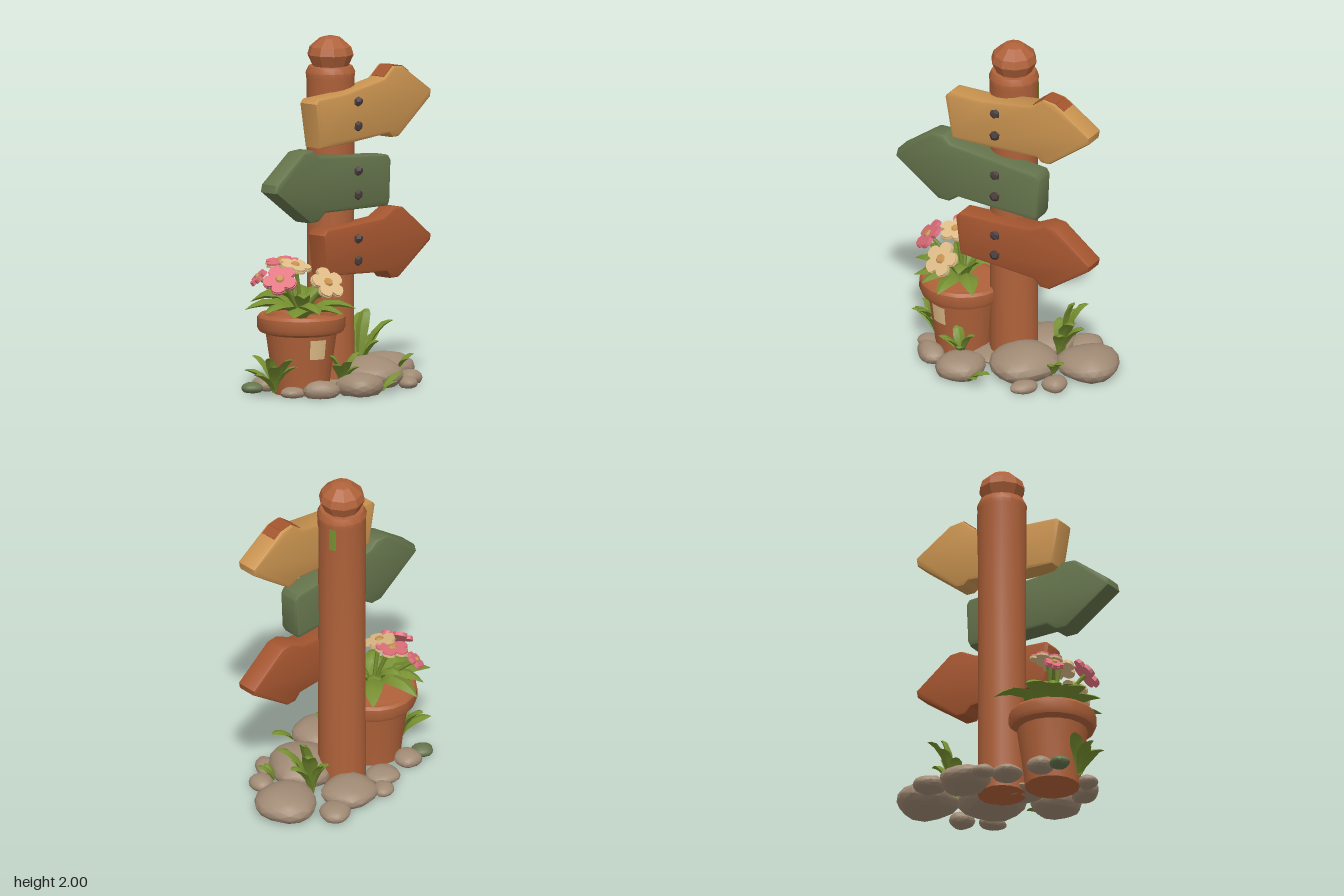
import * as THREE from 'three';
import { toCreasedNormals } from 'three/addons/utils/BufferGeometryUtils.js';

const mat = (name, color, side = THREE.FrontSide) => {
  const m = new THREE.MeshStandardMaterial({ color, side });
  m.name = name;
  return m;
};

export function createModel() {
  const M = {
    wood: mat('terracotta wood', 0xb0623a),
    rust: mat('rust paint', 0xa4552f),
    tan: mat('tan paint', 0xc8924f),
    green: mat('moss green paint', 0x65744c),
    rock: mat('rock', 0xa08a74),
    leaf: mat('leaf', 0x768f30, THREE.DoubleSide),
    pink: mat('pink petal', 0xe0707c),
    cream: mat('cream petal', 0xe0bd88),
    iron: mat('dark iron', 0x4a3e3c),
  };
  const root = new THREE.Group();
  root.name = 'signpost';
  const add = (parent, name, geo, material, x = 0, y = 0, z = 0) => {
    const m = new THREE.Mesh(geo, material);
    m.name = name;
    m.position.set(x, y, z);
    parent.add(m);
    return m;
  };
  const sub = (name, x = 0, y = 0, z = 0) => {
    const g = new THREE.Group();
    g.name = name;
    g.position.set(x, y, z);
    root.add(g);
    return g;
  };
  const lathe = (pts, seg, crease = 0.6) =>
    toCreasedNormals(new THREE.LatheGeometry(pts.map(p => new THREE.Vector2(...p)), seg), crease);

  // Post with a faceted knob and a moss streak near the top
  const post = sub('post', -0.035, 0, -0.045);
  add(post, 'postShaft', lathe([[0, 0], [0.137, 0], [0.134, 0.9], [0.138, 1.76], [0.142, 1.79], [0.125, 1.825], [0, 1.83]], 16), M.wood);
  add(post, 'postKnob', lathe([[0, 1.79], [0.1, 1.8], [0.1, 1.82], [0.132, 1.89], [0.118, 1.935], [0.06, 1.985], [0, 2]], 10, 0.3), M.wood);
  const streak = add(post, 'mossStreak', new THREE.CylinderGeometry(0.142, 0.14, 0.14, 4, 1, true, -0.15, 0.3), M.leaf, 0, 1.69, 0);
  streak.rotation.y = Math.PI - 0.5;

  // Arrow boards: outlines in the plane of the boards
  const boards = sub('boards');
  boards.rotation.y = 0.651;
  const board = (name, pts, material, boltYs) => {
    const shape = new THREE.Shape(pts.map(p => new THREE.Vector2(...p)));
    const geo = new THREE.ExtrudeGeometry(shape, {
      depth: 0.096, bevelSize: 0.018, bevelOffset: -0.018, bevelThickness: 0.02, bevelSegments: 2,
    });
    add(boards, name, toCreasedNormals(geo, 0.7), material, 0, 0, 0.033);
    boltYs.forEach((y, i) => {
      const b = add(boards, 'bolt', new THREE.DodecahedronGeometry(0.031, 0), M.iron, 0.002, y, 0.155);
      b.rotation.set(0.3, 0.4 * i, 0.5 + i);
      b.scale.z = 0.8;
    });
  };
  board('topBoard', [
    [-0.29, 1.40], [-0.06, 1.405], [0.27, 1.43], [0.30, 1.405], [0.35, 1.405], [0.61, 1.605], [0.617, 1.65],
    [0.39, 1.80], [0.31, 1.81], [0.23, 1.745], [-0.10, 1.69], [-0.31, 1.68], [-0.335, 1.655],
  ], M.tan, [1.64, 1.5]);
  board('middleBoard', [
    [0.26, 1.02], [0.275, 1.05], [0.285, 1.28], [0.265, 1.31], [-0.05, 1.335], [-0.30, 1.355], [-0.35, 1.395],
    [-0.43, 1.39], [-0.65, 1.225], [-0.66, 1.18], [-0.38, 0.985], [-0.31, 0.985], [-0.25, 1.03],
  ], M.green, [1.245, 1.11]);
  board('bottomBoard', [
    [-0.235, 0.67], [0.25, 0.645], [0.29, 0.605], [0.35, 0.605], [0.61, 0.79], [0.617, 0.825],
    [0.39, 1.0], [0.32, 1.005], [0.22, 0.955], [-0.03, 0.94], [-0.24, 0.93], [-0.265, 0.90],
  ], M.rust, [0.86, 0.735]);

  // Worn paint on top of the upper arrowhead
  [[0.24, 1.753, 0.31, 1.81], [0.31, 1.81, 0.39, 1.80], [0.39, 1.80, 0.44, 1.767]].forEach(([x0, y0, x1, y1]) => {
    const w = add(boards, 'wornPaint', new THREE.BoxGeometry(Math.hypot(x1 - x0, y1 - y0), 0.008, 0.095), M.rust,
      (x0 + x1) / 2, (y0 + y1) / 2, 0.083);
    w.rotation.z = Math.atan2(y1 - y0, x1 - x0);
  });

  // Flower pot with rim, soil and a chipped patch
  const pot = sub('flowerPot', -0.24, 0, 0.18);
  add(pot, 'potBody', lathe([[0, 0], [0.155, 0], [0.165, 0.1], [0.2, 0.34], [0.238, 0.355], [0.25, 0.38],
    [0.248, 0.435], [0.235, 0.452], [0.21, 0.45], [0.2, 0.42], [0, 0.43]], 18), M.wood);
  const patch = add(pot, 'potPatch', new THREE.CylinderGeometry(0.198, 0.185, 0.11, 4, 1, true, 0.1, 0.52), M.cream, 0, 0.265, 0);
  patch.material = M.cream;

  // Pointed leaf with a diamond cross-section swept along an arc
  const leafGeo = (reach, rise, width, lift) => {
    const curve = new THREE.QuadraticBezierCurve(new THREE.Vector2(0, 0),
      new THREE.Vector2(reach * 0.35, rise * lift), new THREE.Vector2(reach, rise));
    const pos = [], idx = [];
    const rings = [[0, 0.35], [0.25, 0.7], [0.5, 1], [0.75, 0.85], [0.9, 0.45], [1, 0.03]];
    rings.forEach(([t, k], i) => {
      const p = curve.getPoint(t), d = curve.getTangent(t), w = width * k, h = w * 0.38;
      pos.push(p.x, p.y, w, p.x - d.y * h, p.y + d.x * h, 0, p.x, p.y, -w, p.x + d.y * h, p.y - d.x * h, 0);
      if (i) for (let j = 0; j < 4; j++) {
        const a = (i - 1) * 4 + j, b = (i - 1) * 4 + (j + 1) % 4;
        idx.push(a, a + 4, b, b, a + 4, b + 4);
      }
    });
    const g = new THREE.BufferGeometry();
    g.setAttribute('position', new THREE.Float32BufferAttribute(pos, 3));
    g.setIndex(idx);
    return toCreasedNormals(g, 0.7);
  };
  // Each leaf: angle in degrees (0 = +x, 90 = front), reach, rise, half width
  const tuft = (name, x, y, z, leaves, lift = 1) => {
    const g = sub(name, x, y, z);
    leaves.forEach(([deg, reach, rise, w]) => {
      add(g, 'leaf', leafGeo(reach, rise, w, lift), M.leaf).rotation.y = -deg * Math.PI / 180;
    });
  };
  tuft('potLeaves', -0.24, 0.41, 0.18, [
    [12, 0.31, 0.07, 0.055], [50, 0.31, 0.06, 0.055], [78, 0.28, 0.07, 0.055], [108, 0.28, 0.05, 0.055],
    [140, 0.31, 0.07, 0.06], [168, 0.34, 0.08, 0.065], [200, 0.29, 0.1, 0.055], [228, 0.33, 0.1, 0.06],
    [277, 0.34, 0.11, 0.06], [318, 0.24, 0.12, 0.05],
  ], 2.3);
  tuft('potInnerLeaves', -0.24, 0.41, 0.18, [
    [30, 0.2, 0.15, 0.045], [95, 0.19, 0.15, 0.045], [155, 0.19, 0.16, 0.045], [215, 0.18, 0.16, 0.045], [275, 0.18, 0.15, 0.045],
  ], 1.4);
  tuft('backTuft', 0.16, 0.04, -0.25, [
    [0, 0.2, 0.3, 0.045], [-35, 0.16, 0.22, 0.045], [-75, 0.16, 0.33, 0.045], [-120, 0.14, 0.25, 0.04],
    [-45, 0.09, 0.36, 0.045], [25, 0.12, 0.19, 0.04], [-160, 0.1, 0.2, 0.04],
  ]);
  tuft('leftTuft', -0.41, 0.02, 0.28, [
    [185, 0.17, 0.13, 0.04], [215, 0.14, 0.2, 0.04], [150, 0.15, 0.11, 0.035], [100, 0.14, 0.16, 0.035],
    [60, 0.17, 0.2, 0.035], [125, 0.08, 0.2, 0.035], [30, 0.14, 0.15, 0.03],
  ]);
  tuft('frontTuft', -0.02, 0.06, 0.28, [
    [-20, 0.11, 0.17, 0.035], [30, 0.1, 0.1, 0.03], [120, 0.13, 0.12, 0.035], [180, 0.08, 0.16, 0.035], [80, 0.12, 0.14, 0.03],
  ]);
  tuft('rightSprout', 0.2, 0.02, 0.32, [[-30, 0.15, 0.09, 0.035], [-5, 0.09, 0.05, 0.025]]);
  tuft('sideSprout', 0.36, 0.06, -0.13, [[-10, 0.1, 0.1, 0.035], [40, 0.07, 0.08, 0.03]]);

  // Five-petalled flowers on curved stems
  const petals = (r, depth) => {
    const pts = [];
    for (let i = 0; i < 30; i++) {
      const a = i / 30 * Math.PI * 2, k = r * (0.66 + 0.34 * Math.sqrt(Math.abs(Math.cos(2.5 * a))));
      pts.push(new THREE.Vector2(k * Math.cos(a), k * Math.sin(a)));
    }
    return new THREE.ExtrudeGeometry(new THREE.Shape(pts), { depth, bevelEnabled: false });
  };
  const zAxis = new THREE.Vector3(0, 0, 1);
  [
    [-0.34, 0.735, 0.11, 0.1, [-0.1, 1, 0.1], M.pink, M.cream],
    [-0.28, 0.725, 0.21, 0.095, [0.15, 1, 0.25], M.cream, M.cream],
    [-0.385, 0.665, 0.33, 0.1, [-0.25, 0.75, 0.75], M.pink, M.pink],
    [-0.12, 0.645, 0.36, 0.105, [0.35, 0.65, 0.7], M.cream, M.cream],
    [-0.47, 0.65, 0.1, 0.06, [-0.7, 0.7, 0], M.pink, M.pink],
  ].forEach(([x, y, z, r, n, front, back], i) => {
    const f = sub('flower', x, y, z);
    f.quaternion.setFromUnitVectors(zAxis, new THREE.Vector3(...n).normalize());
    add(f, 'petals', petals(r * 0.96, 0.012), front).rotation.z = i;
    add(f, 'petalBacks', petals(r, 0.012), back, 0, 0, -0.011).rotation.z = i;
    add(f, 'flowerCentre', new THREE.CylinderGeometry(r * 0.2, r * 0.3, 0.014, 7), M.tan, 0, 0, 0.016).rotation.x = Math.PI / 2;
    const stem = new THREE.QuadraticBezierCurve3(new THREE.Vector3(-0.24, 0.42, 0.18),
      new THREE.Vector3((x - 0.24) / 2, y - 0.08, (z + 0.18) / 2), new THREE.Vector3(x, y, z));
    add(root, 'stem', new THREE.TubeGeometry(stem, 6, 0.012, 5), M.leaf);
  });

  // Flat-bottomed rocks, lumped by a simple wave rule: x, z, half width, half depth, height
  [
    [0.32, -0.36, 0.18, 0.185, 0.15], [0.05, -0.45, 0.09, 0.1, 0.08], [-0.05, -0.27, 0.16, 0.15, 0.12],
    [-0.25, -0.24, 0.06, 0.07, 0.06], [-0.26, -0.1, 0.1, 0.09, 0.07], [0.19, -0.02, 0.19, 0.21, 0.175],
    [0.43, -0.11, 0.07, 0.075, 0.08], [0.39, 0.06, 0.055, 0.085, 0.065], [0.07, 0.32, 0.135, 0.145, 0.13],
    [-0.16, 0.41, 0.11, 0.075, 0.1], [-0.42, 0.04, 0.08, 0.08, 0.08], [-0.51, 0.12, 0.065, 0.06, 0.06],
    [-0.32, 0.36, 0.07, 0.06, 0.06], [-0.06, 0.08, 0.13, 0.12, 0.06],
  ].forEach(([x, z, rx, rz, h], s) => {
    const g = new THREE.IcosahedronGeometry(1, 2), p = g.attributes.position;
    for (let i = 0; i < p.count; i++) {
      const a = p.getX(i), b = p.getY(i), c = p.getZ(i);
      const k = 0.98 + 0.06 * Math.sin(3 * a + s) * Math.cos(4 * c + 2 * s);
      p.setXYZ(i, a * k * rx, Math.max(0, h * (0.4 + 0.6 * b * k)), c * k * rz);
    }
    add(root, 'rock', toCreasedNormals(g, 0.5), s === 11 ? M.green : M.rock, x, 0, z);
  });
  return root;
}
